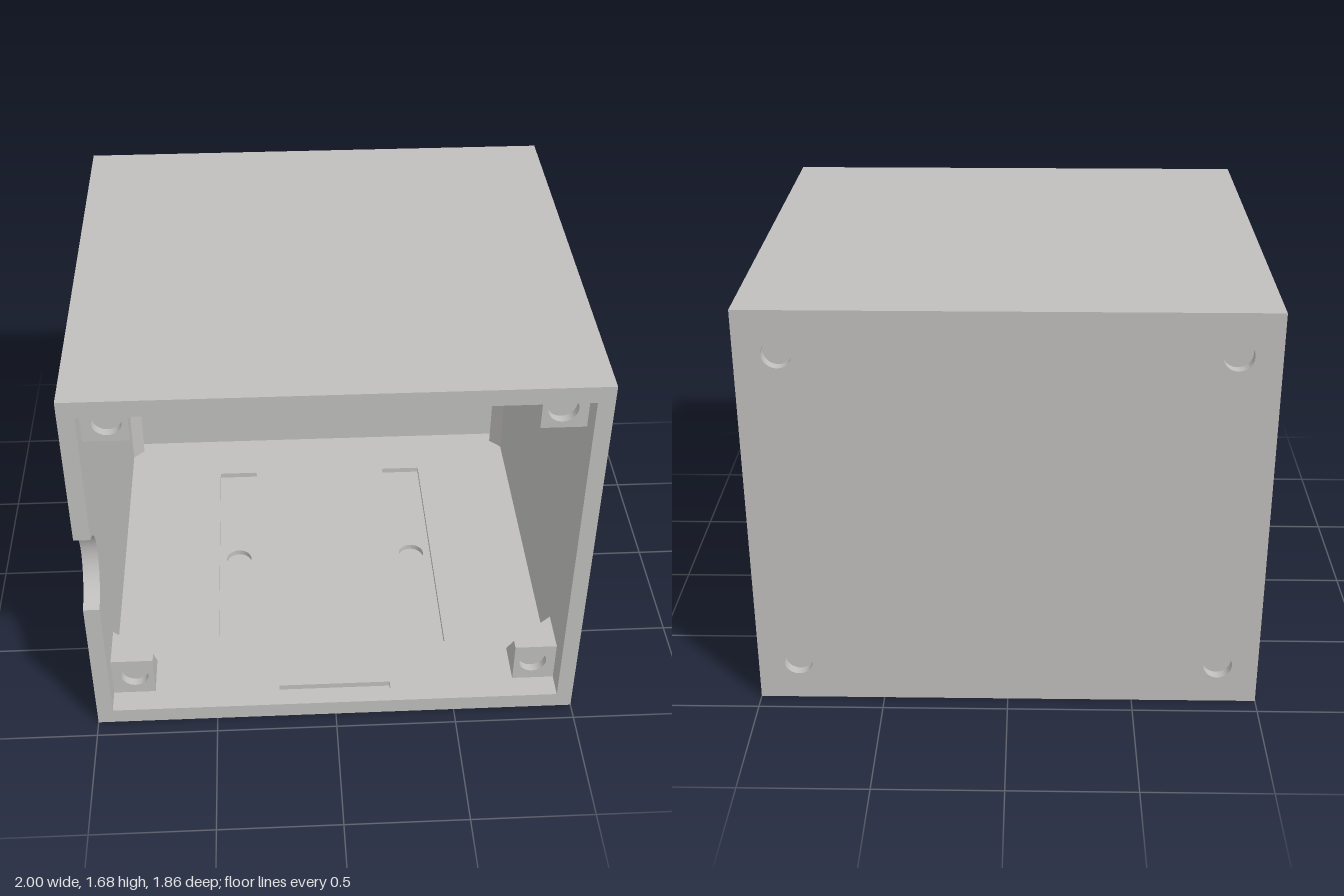
import * as THREE from 'three';
import { toCreasedNormals } from 'three/addons/utils/BufferGeometryUtils.js';

const W = 1, D = 0.93, H = 1.68;            // half width, half depth, height
const IX = 0.935, IY0 = 0.07, IY1 = 1.61;   // inner faces of the shell
const R = 0.057;                            // radius of every small round pocket
const POST_X = 0.84, POST_Y = [0.17, 1.51];

const rect = (x0, y0, x1, y1, Type = THREE.Shape) => new Type([
  new THREE.Vector2(x0, y0), new THREE.Vector2(x1, y0),
  new THREE.Vector2(x1, y1), new THREE.Vector2(x0, y1),
]);

const round = (x, y) => new THREE.Path().absarc(x, y, R, 0, Math.PI * 2, true);

// Flat plate with holes, extruded along +z from zero
function slab(shape, depth, holes = []) {
  shape.holes.push(...holes);
  const g = new THREE.ExtrudeGeometry(shape, { depth, bevelEnabled: false, curveSegments: 32 });
  return toCreasedNormals(g, 0.5);
}

export function createModel() {
  const model = new THREE.Group();
  model.name = 'openFrontEnclosure';
  const grey = new THREE.MeshStandardMaterial({ color: 0xc0bfbd });
  grey.name = 'light grey';

  const add = (name, geometry) => {
    const mesh = new THREE.Mesh(geometry, grey);
    mesh.name = name;
    model.add(mesh);
  };
  // Horizontal plate: shape (x, -z), rising from y0 to y1
  const level = (name, shape, y0, y1, holes) =>
    add(name, slab(shape, y1 - y0, holes).rotateX(-Math.PI / 2).translate(0, y0, 0));
  // Upright side plate: shape (z, y), spanning x0 to x1
  const side = (name, shape, x0, x1, holes) =>
    add(name, slab(shape, x1 - x0, holes).rotateY(-Math.PI / 2).translate(x1, 0, 0));

  // Floor in layers: solid base, round pockets, long slots and front groove
  const plan = () => rect(-W, -D, W, D);
  const groove = () => rect(-0.235, -0.86, 0.235, -0.825, THREE.Path);
  level('floorBase', plan(), 0, 0.02);
  level('floorPocketLayer', plan(), 0.02, 0.045, [-0.405, 0.405].map((x) => round(x, 0)));
  level('floorSlotLayer', plan(), 0.045, IY0, [
    rect(-0.495, -0.6, -0.315, 0.6, THREE.Path),
    rect(0.315, -0.6, 0.495, 0.6, THREE.Path),
    groove(),
  ]);

  // Ceiling with matching front groove
  level('ceilingInner', plan(), IY1, 1.635, [groove()]);
  level('ceilingOuter', plan(), 1.635, H);

  // Plain left wall
  side('leftWall', rect(-D, IY0, D, IY1), IX, W);

  // Right wall with a rounded finger notch in its front edge
  const notched = () => {
    const r = 0.193, cz = 0.986, cy = 0.845;
    const a = Math.acos((D - cz) / r);
    const s = new THREE.Shape();
    s.moveTo(-D, IY0);
    s.lineTo(D, IY0);
    s.absarc(cz, cy, r, -a, a, true);
    s.lineTo(D, IY1);
    s.lineTo(-D, IY1);
    s.closePath();
    return s;
  };
  side('rightWallOuter', notched(), -W, -0.96, [0.556, 0.838].map((y) => round(0, y)));
  side('rightWallInner', notched(), -0.96, -IX);

  // Back wall with four blind corner pockets
  const backHoles = [];
  for (const x of [-POST_X, POST_X]) for (const y of POST_Y) backHoles.push(round(x, y));
  add('backWallOuter', slab(rect(-IX, IY0, IX, IY1), 0.04, backHoles).translate(0, 0, -D));
  add('backWallInner', slab(rect(-IX, IY0, IX, IY1), 0.03).translate(0, 0, -0.89));

  for (const sx of [-1, 1]) {
    const tag = sx > 0 ? 'left' : 'right';

    // Upright snap rib near the back
    const tri = new THREE.Shape([[IX, 0.75], [0.885, 0.8], [IX, 0.8]]
      .map(([x, y]) => new THREE.Vector2(sx * x, y)));
    level(tag + 'BackRib', tri, IY0, 1.03);

    // Corner posts: pocketed cap and a body tapering back into the corner
    POST_Y.forEach((hy, i) => {
      const w = 0.175, h = 0.185, front = 0.795;
      const name = tag + (i ? 'Upper' : 'Lower') + 'Post';
      const cx = sx * (IX - w / 2);
      const cy = i ? IY1 - h / 2 : IY0 + h / 2;
      add(name + 'Cap', slab(rect(cx - w / 2, cy - h / 2, cx + w / 2, cy + h / 2), 0.035,
        [round(sx * POST_X, hy)]).translate(0, 0, front));

      const body = new THREE.BoxGeometry(w, h, 1).translate(cx, cy, 0);
      const p = body.attributes.position;
      for (let k = 0; k < p.count; k++) {
        const inX = (Math.abs(p.getX(k)) - (IX - w)) / w;
        const inY = (i ? p.getY(k) - (IY1 - h) : IY0 + h - p.getY(k)) / h;
        p.setZ(k, p.getZ(k) > 0 ? front : 0.79 - 0.135 * (inX + inY));
      }
      body.computeVertexNormals();
      add(name + 'Body', body);
    });
  }
  return model;
}
